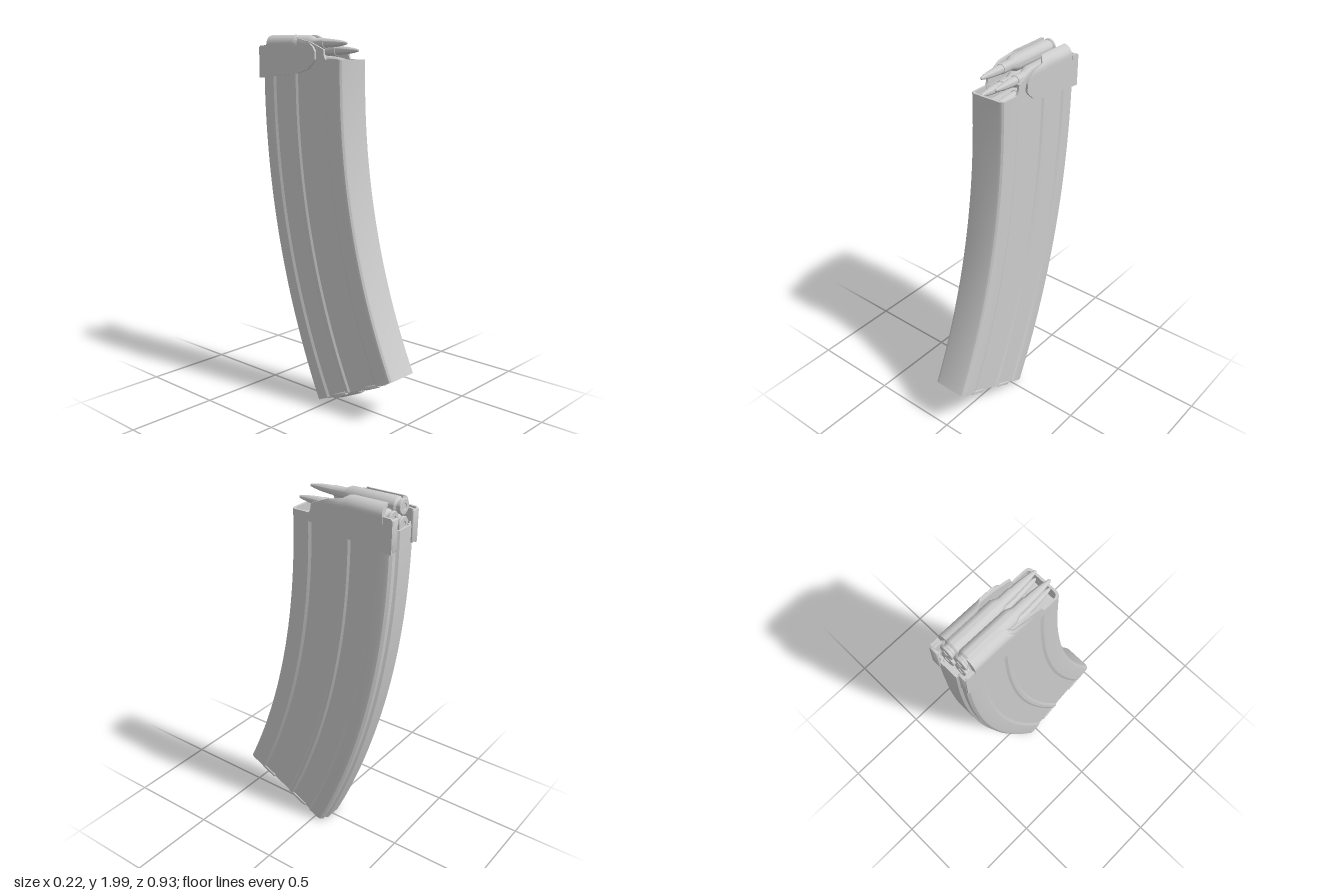
import * as THREE from 'three';
import { toCreasedNormals } from 'three/addons/utils/BufferGeometryUtils.js';
import { RoundedBoxGeometry } from 'three/addons/geometries/RoundedBoxGeometry.js';

const material = new THREE.MeshStandardMaterial({ color: 0xcccccc });

// curve of the body: straight at the top, then an arc around a point in front
const ARC_Y = 1.8, ARC_Z = 3.712, FRONT_R = 3.59, BEND = THREE.MathUtils.degToRad(25.3);
const RIM_Y = 1.875, DEPTH = 0.59;

function part(name, geometry, crease = 0.5) {
  const mesh = new THREE.Mesh(toCreasedNormals(geometry, crease), material);
  mesh.name = name;
  return mesh;
}

// skin a row of closed rings and close both ends
function loft(rings) {
  const n = rings[0].length, last = rings.length - 1;
  const pos = rings.flat().flatMap((p) => p.toArray());
  const index = [];
  for (let i = 0; i < last; i++) {
    for (let j = 0; j < n; j++) {
      const k = (j + 1) % n;
      const a = i * n + j, b = i * n + k, c = a + n, d = b + n;
      index.push(a, b, d, a, d, c);
    }
  }
  [0, last].forEach((r) => {
    const mid = new THREE.Vector3();
    rings[r].forEach((p) => mid.addScaledVector(p, 1 / n));
    const m = pos.length / 3;
    pos.push(mid.x, mid.y, mid.z);
    for (let j = 0; j < n; j++) {
      const a = r * n + j, b = r * n + (j + 1) % n;
      if (r === 0) index.push(m, b, a); else index.push(m, a, b);
    }
  });
  const geo = new THREE.BufferGeometry();
  geo.setAttribute('position', new THREE.Float32BufferAttribute(pos, 3));
  geo.setIndex(index);
  return geo;
}

// half section of the body: half width, distance behind the front face
const HALF = [
  [0.075, 0], [0.088, 0.004], [0.097, 0.012], [0.1, 0.025],
  [0.1, 0.105], [0.093, 0.12], [0.093, 0.31], [0.1, 0.322], [0.1, 0.338], [0.093, 0.35],
  [0.093, 0.475], [0.1, 0.49], [0.1, 0.545], [0.095, 0.565], [0.082, 0.577],
  [0.058, 0.578], [0.048, DEPTH],
];
const SECTION = [...HALF, ...HALF.map(([x, s]) => [-x, s]).reverse()];

function bodyRing(angle, y, inner = false) {
  return SECTION.map(([x, s]) => {
    const r = FRONT_R + (inner ? 0.012 + s * 0.96 : s);
    return new THREE.Vector3(
      inner ? x * 0.9 : x,
      y - r * Math.sin(angle),
      ARC_Z - r * Math.cos(angle));
  });
}

// curved hollow body with an inner floor below the rounds
function bodyGeometry() {
  const rings = [], steps = 32;
  for (let i = steps; i >= 0; i--) rings.push(bodyRing((BEND * i) / steps, ARC_Y));
  rings.push(bodyRing(0, RIM_Y), bodyRing(0, RIM_Y, true), bodyRing(0, ARC_Y, true));
  return loft(rings);
}

// feed lip: a side plate whose top rolls inward; each station is z, bottom, unrolled top
function lipGeometry(side) {
  const stations = [
    [-0.465, 1.775, 1.935], [-0.455, 1.775, 1.945], [-0.412, 1.779, 1.947],
    [-0.408, 1.78, 2.028], [-0.225, 1.799, 2.028], [-0.205, 1.801, 2.015],
    [-0.175, 1.804, 1.982], [-0.1, 1.825, 1.965], [-0.065, 1.855, 1.94], [-0.05, 1.875, 1.915],
  ];
  const curlY = 1.95, radius = 0.05, thick = 0.012, n = 20;
  const point = (s, inset, z) => {
    const a = Math.max(0, s - curlY) / radius, r = radius - inset;
    return new THREE.Vector3(
      side * (0.062 + r * Math.cos(a)), Math.min(s, curlY) + r * Math.sin(a), z);
  };
  const rings = stations.map(([z, low, high]) => {
    const ring = [];
    for (let i = 0; i <= n; i++) ring.push(point(low + ((high - low) * i) / n, 0, z));
    for (let i = n; i >= 0; i--) ring.push(point(low + ((high - low) * i) / n, thick, z));
    return side > 0 ? ring : ring.reverse();
  });
  return loft(rings);
}

// raised side wall under each lip, drawn in z and y
function wallGeometry(x) {
  const shape = new THREE.Shape();
  shape.moveTo(0.02, 1.83);
  shape.lineTo(0.015, 1.875);
  shape.quadraticCurveTo(0.002, 1.885, 0, 1.925);
  shape.lineTo(-0.1, 1.965);
  shape.lineTo(-0.16, 1.975);
  shape.lineTo(-0.4, 1.975);
  shape.lineTo(-0.41, 1.94);
  shape.lineTo(-0.455, 1.935);
  shape.lineTo(-0.455, 1.83);
  const geo = new THREE.ExtrudeGeometry(shape, { depth: 0.012, bevelEnabled: false });
  return geo.rotateY(-Math.PI / 2).translate(x + 0.006, 0, 0);
}

// one round, base at the origin and tip toward +z
function roundGeometry() {
  const profile = [
    [0, 0.004], [0.015, 0.004], [0.017, 0], [0.036, 0], [0.039, 0.003], [0.039, 0.012],
    [0.033, 0.017], [0.033, 0.026], [0.042, 0.036], [0.043, 0.05], [0.041, 0.295],
    [0.026, 0.33], [0.026, 0.395], [0.023, 0.396], [0.022, 0.43], [0.018, 0.475],
    [0.012, 0.515], [0.007, 0.538], [0, 0.545],
  ].map(([r, t]) => new THREE.Vector2(r, t));
  return new THREE.LatheGeometry(profile, 32).rotateX(Math.PI / 2);
}

export function createModel() {
  const model = new THREE.Group();
  model.name = 'curvedMagazine';
  model.add(part('body', bodyGeometry(), 0.4));

  // lips, walls and rear corners, mirrored
  for (const side of [1, -1]) {
    const label = side > 0 ? 'left' : 'right';
    model.add(part(label + 'FeedLip', lipGeometry(side)));
    model.add(part(label + 'SideWall', wallGeometry(side * 0.094)));
    const corner = part(label + 'RearCorner', new RoundedBoxGeometry(0.042, 0.16, 0.014, 3, 0.006));
    corner.position.set(side * 0.086, 1.86, -0.46);
    model.add(corner);
  }

  // staggered rounds
  const rounds = new THREE.Group();
  rounds.name = 'rounds';
  [[-0.042, 1.956], [0.045, 1.92], [-0.042, 1.87], [0.045, 1.845]].forEach(([x, y]) => {
    const round = part('round', roundGeometry());
    round.position.set(x, y, -0.432);
    rounds.add(round);
  });
  model.add(rounds);

  // floor plate, laid along the slanted bottom
  const floor = new THREE.Group();
  floor.name = 'floor';
  const r = FRONT_R + DEPTH / 2;
  floor.position.set(0, ARC_Y - r * Math.sin(BEND), ARC_Z - r * Math.cos(BEND));
  floor.rotation.x = -BEND;
  const addBox = (name, w, h, d, x, y, z, radius) => {
    const box = part(name, new RoundedBoxGeometry(w, h, d, 3, radius));
    box.position.set(x, y, z);
    floor.add(box);
  };
  addBox('floorPlate', 0.15, 0.014, 0.46, 0, -0.001, 0, 0.005);
  addBox('floorCatch', 0.065, 0.05, 0.18, 0, -0.004, -0.1, 0.02);
  for (const side of [1, -1]) {
    for (const z of [0.15, -0.1]) addBox('floorTab', 0.02, 0.02, 0.1, side * 0.088, 0, z, 0.005);
  }
  model.add(floor);
  return model;
}
